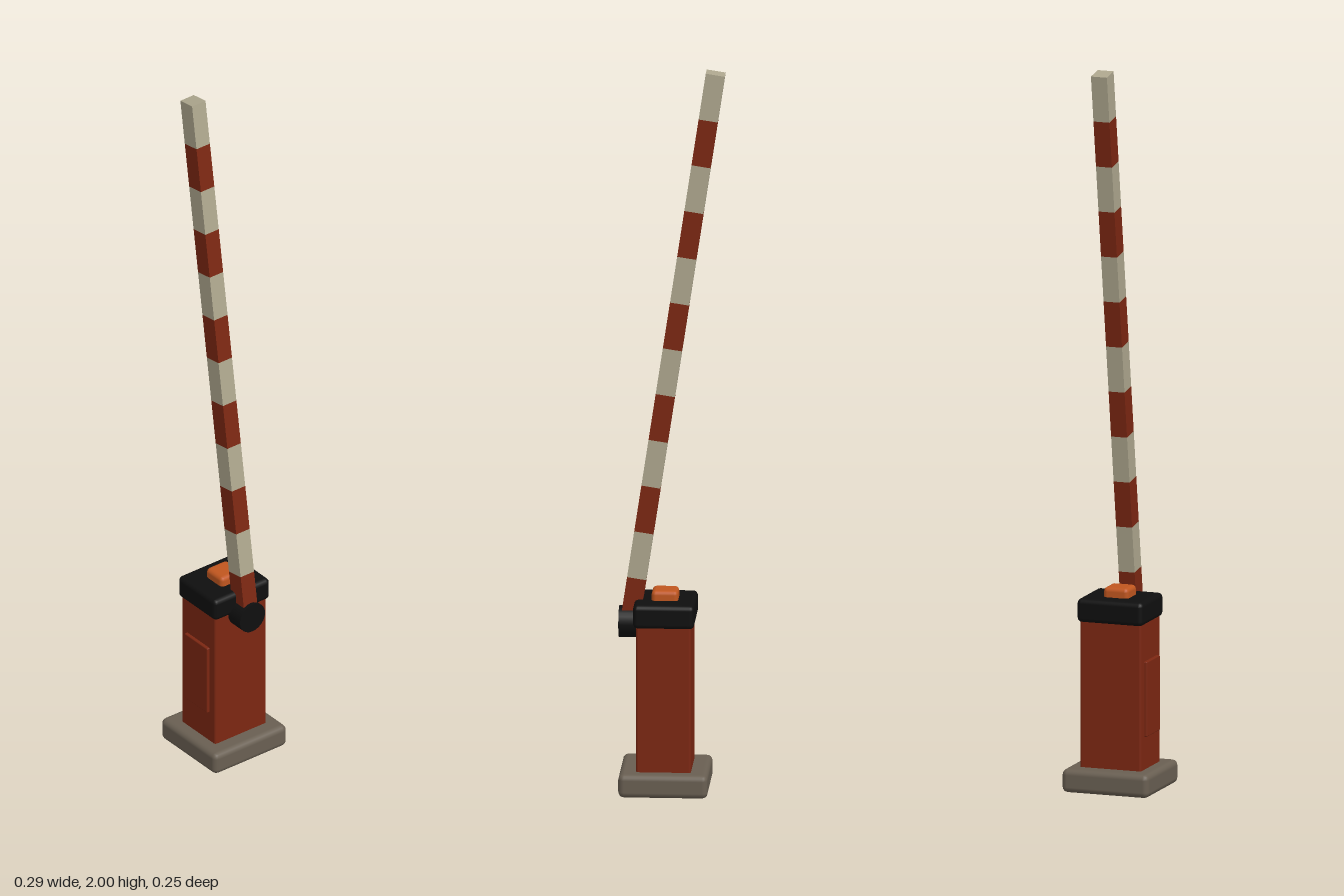
import * as THREE from 'three';
import { RoundedBoxGeometry } from 'three/addons/geometries/RoundedBoxGeometry.js';

const paint = (name, color) => {
  const m = new THREE.MeshStandardMaterial({ color });
  m.name = name;
  return m;
};

export function createModel() {
  const red = paint('red', 0x7c2712);
  const cream = paint('cream', 0xaea78e);
  const concrete = paint('concrete', 0x695f52);
  const black = paint('black', 0x0f0f0f);
  const orange = paint('orange', 0xc0561f);

  const model = new THREE.Group();
  model.name = 'barrierGate';
  const cx = 0.018; // centre of the cabinet

  const add = (parent, name, geometry, material, x, y, z) => {
    const mesh = new THREE.Mesh(geometry, material);
    mesh.name = name;
    mesh.position.set(x, y, z);
    parent.add(mesh);
    return mesh;
  };
  // Bevelled block standing between heights y0 and y1
  const block = (name, material, w, y0, y1, d, bevel, z = 0) =>
    add(model, name, new RoundedBoxGeometry(w, y1 - y0, d, 2, bevel), material, cx, (y0 + y1) / 2, z);

  // Cabinet
  block('base', concrete, 0.242, 0, 0.065, 0.25, 0.016);
  block('cabinet', red, 0.148, 0.05, 0.48, 0.176, 0.006);
  block('cap', black, 0.166, 0.465, 0.53, 0.19, 0.013);
  block('beacon', orange, 0.072, 0.515, 0.557, 0.072, 0.012);
  block('door', red, 0.1, 0.156, 0.363, 0.018, 0.003, 0.088);

  // Pivot hub on the cabinet side
  const hub = add(model, 'hub', new THREE.CylinderGeometry(0.043, 0.043, 0.06, 24), black, 0.113, 0.463, 0);
  hub.rotation.z = Math.PI / 2;

  // Raised arm, built from alternating striped segments
  const arm = new THREE.Group();
  arm.name = 'arm';
  arm.position.set(0.114, 0.46, 0);
  arm.rotation.z = 0.15;
  model.add(arm);
  const count = 12;
  const step = 1.5535 / count;
  const segment = new THREE.BoxGeometry(0.052, step, 0.046);
  for (let i = 0; i < count; i++) {
    add(arm, 'armStripe' + (i + 1), segment, i % 2 ? cream : red, 0, (i + 0.5) * step, 0);
  }

  return model;
}
